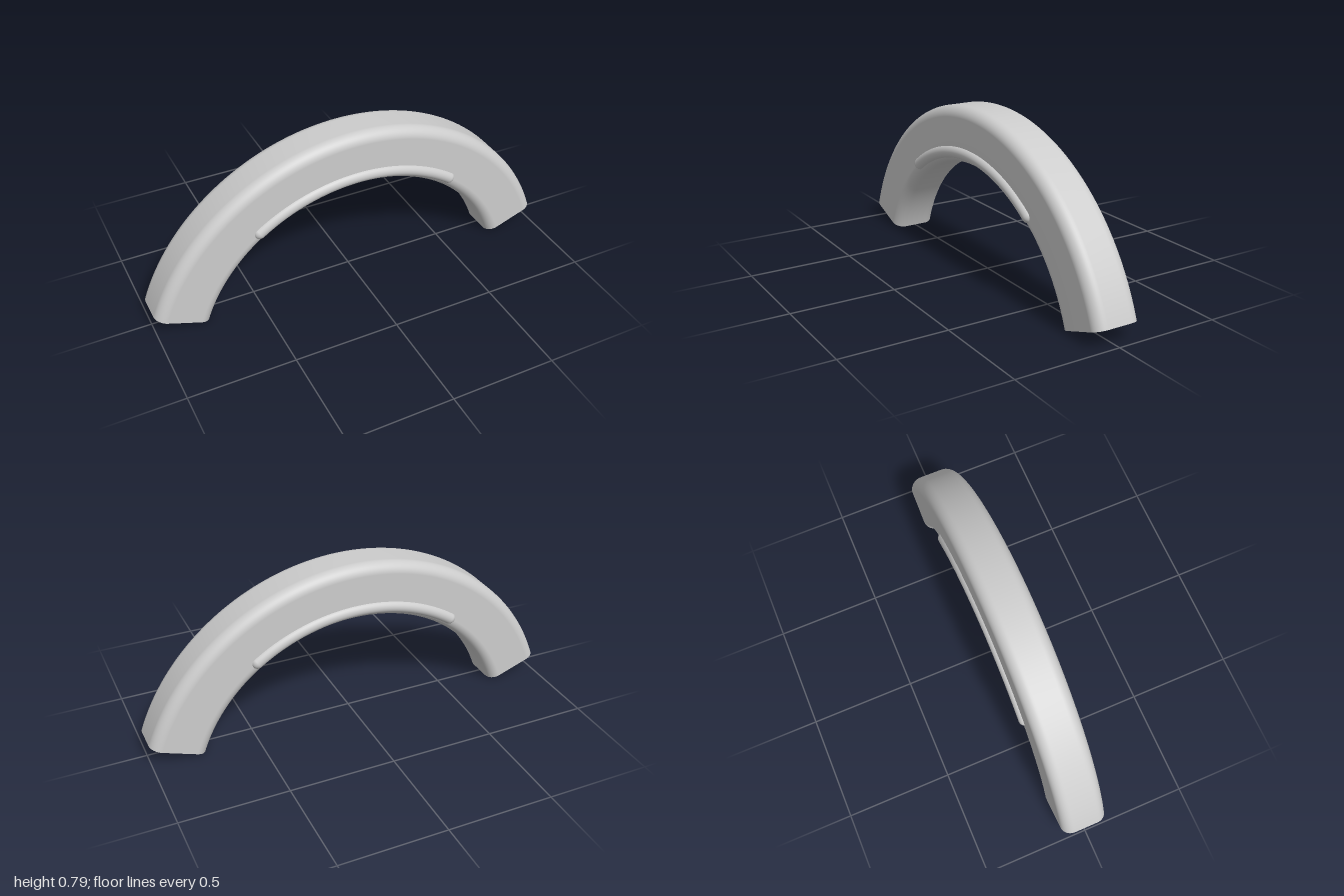
import * as THREE from 'three';

const OUTER = 1.064, INNER = 0.794, HALF_DEPTH = 0.11, CORNER = 0.052;
const SPREAD = THREE.MathUtils.degToRad(70); // half the angle of the arch
const CENTRE_Y = -INNER * Math.cos(SPREAD);  // inner tips rest on y = 0

// Closed rounded-rectangle section, x = distance from the arch centre
function sectionPoints(steps = 10) {
  const mid = new THREE.Vector2(INNER, 0);
  const corners = [
    [INNER + CORNER, -HALF_DEPTH + CORNER, 1],
    [OUTER - CORNER, -HALF_DEPTH + CORNER, 1.5],
    [OUTER - CORNER, HALF_DEPTH - CORNER, 0],
    [INNER + CORNER, HALF_DEPTH - CORNER, 0.5],
  ];
  const points = [mid];
  for (const [x, y, start] of corners) {
    for (let i = 0; i <= steps; i++) {
      const a = (start + 0.5 * i / steps) * Math.PI;
      points.push(new THREE.Vector2(x + CORNER * Math.cos(a), y + CORNER * Math.sin(a)));
    }
  }
  points.push(mid.clone());
  return points;
}

export function createModel() {
  const model = new THREE.Group();
  model.name = 'arch';
  const grey = new THREE.MeshStandardMaterial({ color: 0xcccccc, side: THREE.DoubleSide });
  grey.name = 'light grey';

  // Hollow arched body, open at both ends
  const bodyGeometry = new THREE.LatheGeometry(sectionPoints(), 96, -SPREAD, 2 * SPREAD);
  bodyGeometry.rotateX(-Math.PI / 2);
  const body = new THREE.Mesh(bodyGeometry, grey);
  body.name = 'archBody';
  body.position.y = CENTRE_Y;
  model.add(body);

  // Raised round-ended ribs, half sunk into the front and back faces
  const ribRadius = 0.846, ribThickness = 0.03;
  const ribStart = THREE.MathUtils.degToRad(55);
  for (const side of [1, -1]) {
    const rib = new THREE.Group();
    rib.name = side > 0 ? 'frontRib' : 'backRib';
    rib.position.set(0, CENTRE_Y, side * 0.097);
    const barGeometry = new THREE.TorusGeometry(ribRadius, ribThickness, 24, 64, Math.PI - 2 * ribStart);
    barGeometry.rotateZ(ribStart);
    const bar = new THREE.Mesh(barGeometry, grey);
    bar.name = 'ribBar';
    rib.add(bar);
    for (const end of [1, -1]) {
      const tip = new THREE.Mesh(new THREE.SphereGeometry(ribThickness, 24, 16), grey);
      tip.name = end > 0 ? 'leftRibTip' : 'rightRibTip';
      tip.position.set(end * ribRadius * Math.cos(ribStart), ribRadius * Math.sin(ribStart), 0);
      rib.add(tip);
    }
    model.add(rib);
  }
  return model;
}
